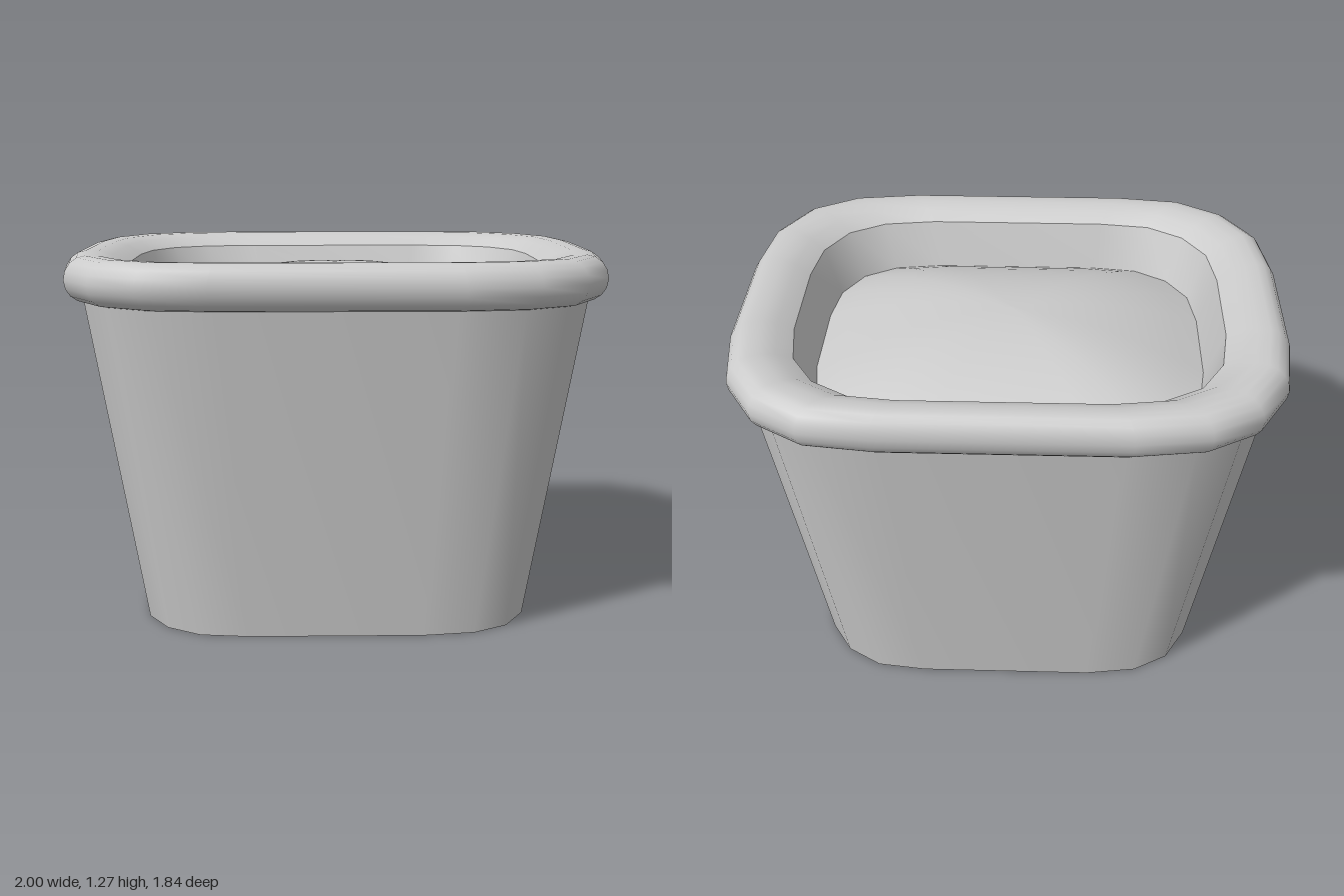
import * as THREE from 'three';

// Half of the rounded-square outline (x, z); the other half is its 180 degree turn.
const HALF = [
  [-1, 0], [-0.985, 0.19], [-0.89, 0.35], [-0.7, 0.478], [0.01, 0.843],
  [0.235, 0.922], [0.42, 0.912], [0.585, 0.805], [0.715, 0.62], [0.925, 0.215],
];
const OUTLINE = [...HALF, ...HALF.map(([x, z]) => [-x, -z])];

// Lofts the outline along a profile of [scale, y] pairs, smooth within one part.
function loft(name, profile) {
  const n = OUTLINE.length;
  const positions = [];
  const index = [];
  profile.forEach(([s, y], i) => {
    OUTLINE.forEach(([x, z], j) => {
      positions.push(x * s, y, z * s);
      if (i === 0) return;
      const k = (j + 1) % n;
      const a = (i - 1) * n + j, b = (i - 1) * n + k;
      const c = i * n + k, d = i * n + j;
      index.push(a, b, d, b, c, d);
    });
  });
  const geometry = new THREE.BufferGeometry();
  geometry.setAttribute('position', new THREE.Float32BufferAttribute(positions, 3));
  geometry.setIndex(index);
  geometry.computeVertexNormals();
  const material = new THREE.MeshStandardMaterial({ color: 0xcccccc, side: THREE.DoubleSide });
  const mesh = new THREE.Mesh(geometry, material);
  mesh.name = name;
  return mesh;
}

export function createModel() {
  const pot = new THREE.Group();
  pot.name = 'planterPot';

  // Flat base and tapered body
  pot.add(loft('base', [[0.001, 0], [0.735, 0]]));
  pot.add(loft('body', [[0.735, 0], [0.933, 1.118]]));

  // Rolled rim: half-round outside, then a gentle slope to the inner edge
  const rim = [[0.9, 1.115]];
  for (let i = 0; i <= 8; i++) {
    const a = -Math.PI / 2 + (i / 8) * Math.PI;
    rim.push([0.924 + 0.076 * Math.cos(a), 1.191 + 0.076 * Math.sin(a)]);
  }
  rim.push([0.88, 1.265], [0.83, 1.252], [0.775, 1.22]);
  pot.add(loft('rim', rim));

  // Inner wall running down to the soil
  pot.add(loft('innerWall', [[0.775, 1.22], [0.71, 1.06]]));

  // Domed soil
  const soil = [];
  for (let i = 0; i <= 8; i++) {
    const t = 1 - i / 8;
    soil.push([Math.max(0.71 * t, 0.001), 1.06 + 0.15 * (1 - t * t)]);
  }
  pot.add(loft('soil', soil));

  return pot;
}
